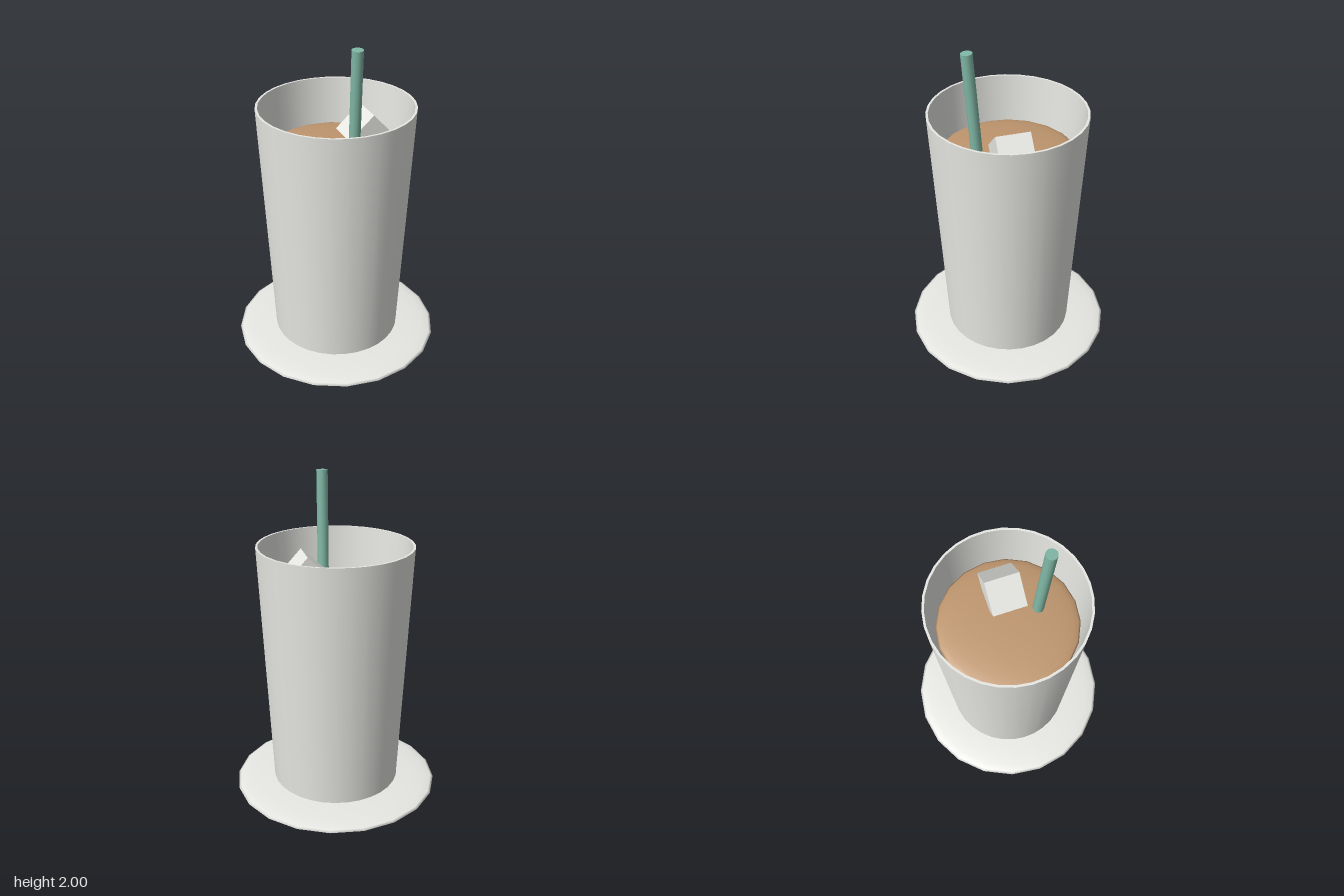
import * as THREE from 'three';

const paint = (name, color) => {
  const m = new THREE.MeshStandardMaterial({ color });
  m.name = name;
  return m;
};

export function createModel() {
  const group = new THREE.Group();
  const white = paint('porcelain white', 0xf0f0ec);
  const coffee = paint('milky coffee', 0xbf966e);
  const green = paint('soft green', 0x80b8a6);

  const add = (name, geometry, material, x = 0, y = 0, z = 0) => {
    const mesh = new THREE.Mesh(geometry, material);
    mesh.name = name;
    mesh.position.set(x, y, z);
    group.add(mesh);
    return mesh;
  };

  // Lens-shaped coaster: a strongly flattened sphere
  add('coaster', new THREE.SphereGeometry(0.642, 20, 14).scale(1, 0.0575, 1), white, 0, 0.037, 0);

  // Thin-walled tapered cup; doubled points keep the rim and base edges sharp
  const profile = [
    [0, 0.08], [0.4, 0.08], [0.4, 0.08], [0.47, 1.6], [0.47, 1.6],
    [0.456, 1.6], [0.456, 1.6], [0.386, 0.1], [0.386, 0.1], [0, 0.1],
  ].map(([r, y]) => new THREE.Vector2(r, y));
  const wall = (name, from, to) =>
    add(name, new THREE.LatheGeometry(profile.slice(from, to), 32), white);
  wall('cupBase', 0, 2);
  wall('cupOutside', 2, 4);
  wall('cupRim', 4, 6);
  wall('cupInside', 6, 8);
  wall('cupFloor', 8, 10);

  // Drink surface, slightly domed
  add('drink', new THREE.SphereGeometry(0.42, 20, 14).scale(1, 0.095, 1), coffee, 0, 1.305, 0);

  // Ice cube floating on its edge
  const ice = add('iceCube', new THREE.BoxGeometry(0.207, 0.207, 0.207), white, 0.083, 1.41, -0.158);
  ice.rotation.set(-0.83, -0.345, 0, 'YXZ');

  // Leaning straw, running down into the drink
  const top = new THREE.Vector3(0.233, 1.998, 0.056);
  const lean = new THREE.Vector3(0.06, 1, 0.03).normalize();
  const length = 1.2;
  const straw = add('straw', new THREE.CylinderGeometry(0.034, 0.034, length, 12), green);
  straw.position.copy(top).addScaledVector(lean, -length / 2);
  straw.quaternion.setFromUnitVectors(new THREE.Vector3(0, 1, 0), lean);

  return group;
}
